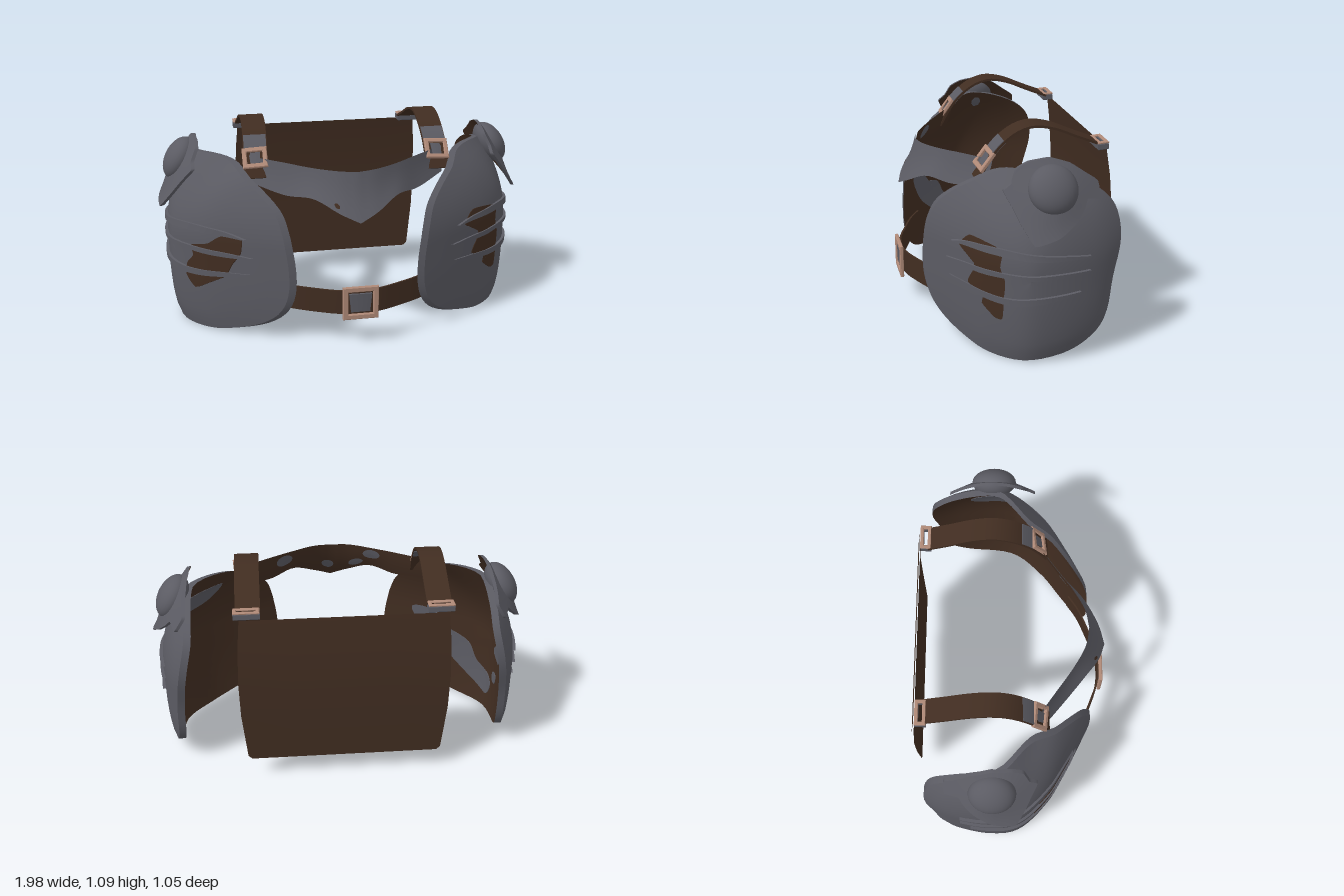
import * as THREE from 'three';

const steel = new THREE.MeshStandardMaterial({ color: 0x5b5b63 });
const leather = new THREE.MeshStandardMaterial({ color: 0x412d21 });
const copper = new THREE.MeshStandardMaterial({ color: 0xb08a78 });
steel.name = 'steel'; leather.name = 'leather'; copper.name = 'copper';

const { lerp, smoothstep } = THREE.MathUtils;
const V = (x, y, z) => new THREE.Vector3(x, y, z);

function add(parent, name, geo, mat) {
  const m = new THREE.Mesh(geo, mat);
  m.name = name;
  parent.add(m);
  return m;
}

// Smooth lookup of a value in a table of [key, value] pairs with rising keys
function lookup(table, k) {
  const n = table.length;
  let i = 0;
  while (i < n - 2 && k > table[i + 1][0]) i++;
  const slope = j => {
    const a = table[Math.max(j - 1, 0)], b = table[Math.min(j + 1, n - 1)];
    return (b[1] - a[1]) / (b[0] - a[0]);
  };
  const [k0, v0] = table[i], [k1, v1] = table[i + 1], d = k1 - k0;
  const t = (k - k0) / d, t2 = t * t, t3 = t2 * t;
  return v0 * (2 * t3 - 3 * t2 + 1) + v1 * (3 * t2 - 2 * t3)
    + slope(i) * d * (t3 - 2 * t2 + t) + slope(i + 1) * d * (t3 - t2);
}

// Skin over rows of points
function grid(rows, flip) {
  const w = rows[0].length, idx = [];
  for (let r = 0; r < rows.length - 1; r++) for (let c = 0; c < w - 1; c++) {
    const a = r * w + c, b = a + 1, d = a + w, e = d + 1;
    idx.push(...(flip ? [a, b, d, b, e, d] : [a, d, b, b, d, e]));
  }
  const g = new THREE.BufferGeometry().setFromPoints(rows.flat());
  g.setIndex(idx);
  g.computeVertexNormals();
  return g;
}

// Curved plate on side s: a (z, y) outline filled with rings, x given by surf(z, y).
// Groups: 0 outer face, 1 inner face, 2 rim.
function shell(s, outline, surf, { lift = 0, thick = 0.03, round = 0, tension = 0.5, centre } = {}) {
  const n = outline.length;
  const area = outline.reduce((sum, p, i) => {
    const q = outline[(i + 1) % n];
    return sum + q[0] * p[1] - p[0] * q[1];
  }, 0);
  const pts = (area < 0 ? outline.slice().reverse() : outline).map(p => V(0, p[1], p[0]));
  const curve = new THREE.CatmullRomCurve3(pts, true, 'catmullrom', tension);
  const N = n * 4, R = 9, pos = [], idx = [];
  const c = centre ? V(0, centre[1], centre[0]) : pts.reduce((a, p) => a.add(p), V(0, 0, 0)).divideScalar(n);
  const edge = Array.from({ length: N }, (_, i) => curve.getPoint(i / N));
  const put = (i, k, inner) => {
    const p = c.clone().lerp(edge[i % N], k);
    const x = surf(p.z, p.y) + lift - (inner ? thick : round * k ** 10);
    pos.push(s * x, p.y, p.z);
  };
  const tri = (a, b, d) => idx.push(...(s > 0 ? [a, b, d] : [a, d, b]));
  const g = new THREE.BufferGeometry();
  for (const inner of [false, true]) {
    const base = pos.length / 3, start = idx.length;
    for (let r = 0; r <= R; r++) for (let i = 0; i < N; i++) put(i, r / R, inner);
    for (let r = 0; r < R; r++) for (let i = 0; i < N; i++) {
      const j = (i + 1) % N, a = base + r * N + i, b = base + r * N + j, d = a + N, e = b + N;
      if (inner) { tri(a, e, d); if (r) tri(a, b, e); }
      else { tri(a, d, e); if (r) tri(a, e, b); }
    }
    g.addGroup(start, idx.length - start, inner ? 1 : 0);
  }
  const base = pos.length / 3, start = idx.length;
  for (let i = 0; i < N; i++) { put(i, 1, false); put(i, 1, true); }
  for (let i = 0; i < N; i++) {
    const a = base + 2 * i, b = base + 2 * ((i + 1) % N);
    tri(a, a + 1, b); tri(b, a + 1, b + 1);
  }
  g.addGroup(start, idx.length - start, 2);
  g.setAttribute('position', new THREE.Float32BufferAttribute(pos, 3));
  g.setIndex(idx);
  g.computeVertexNormals();
  return g;
}

// Flat band swept along a curve, its width lying along the given axis
function band(points, width, thick, axis, from = 0, to = 1) {
  const curve = new THREE.CatmullRomCurve3(points);
  const g = new THREE.BoxGeometry(1, width, thick, 24, 1, 1), p = g.attributes.position;
  for (let i = 0; i < p.count; i++) {
    const t = from + (p.getX(i) + 0.5) * (to - from);
    const nrm = curve.getTangentAt(t).cross(axis).normalize();
    const q = curve.getPointAt(t).addScaledVector(axis, p.getY(i)).addScaledVector(nrm, p.getZ(i));
    p.setXYZ(i, q.x, q.y, q.z);
  }
  g.computeVertexNormals();
  return g;
}

// Rectangular frame with an open middle
function frame(w, h, bar, depth) {
  const rect = (P, a, b) => new P([[-a, -b], [a, -b], [a, b], [-a, b]].map(q => new THREE.Vector2(...q)));
  const shape = rect(THREE.Shape, w / 2, h / 2);
  shape.holes.push(rect(THREE.Path, w / 2 - bar, h / 2 - bar));
  return new THREE.ExtrudeGeometry(shape, { depth, bevelSize: 0.004, bevelThickness: 0.004, bevelSegments: 1 })
    .translate(0, 0, -depth / 2);
}

// Buckle frame around a metal tab
function buckle(name, w, h, bar, tabW, tabH) {
  const grp = new THREE.Group();
  grp.name = name;
  add(grp, 'buckleFrame', frame(w, h, bar, 0.012), copper);
  add(grp, 'buckleTab', new THREE.CylinderGeometry(tabW / 2, tabW * 0.42, tabH, 4, 1, false, Math.PI / 4)
    .scale(1.41, 1, 0.15).translate(0, 0, -0.002), steel);
  return grp;
}

// Side plate surface and outline
const bend = [[-0.46, 0.86], [-0.3, 0.92], [-0.1, 0.95], [0.05, 0.92], [0.2, 0.78], [0.29, 0.635], [0.44, 0.365]];
const plateX = (z, y) => lookup(bend, z) - lerp(0.75, 1.55, smoothstep(z, -0.1, 0.14)) * Math.max(0, y - 0.5) ** 2
  - 0.25 * Math.max(0, 0.35 - y) ** 2;
const plateLine = [[0.43, 0.48], [0.435, 0.3], [0.41, 0.17], [0.35, 0.08], [0.25, 0.02], [0.15, 0], [0, 0.01],
  [-0.2, 0.05], [-0.33, 0.13], [-0.385, 0.23], [-0.41, 0.4], [-0.452, 0.6], [-0.425, 0.76], [-0.33, 0.85],
  [-0.17, 0.91], [0, 0.93], [0.12, 0.9], [0.25, 0.82], [0.36, 0.71], [0.41, 0.6]];

// Worn leather patches, outside and inside, for each side
const wornLeft = [[0.3, 0.54], [0.25, 0.49], [0.25, 0.44], [0.27, 0.36], [0.2, 0.31], [0.22, 0.28], [0.17, 0.225],
  [0.14, 0.23], [0.135, 0.34], [0.13, 0.43], [0.15, 0.5], [0.14, 0.58], [0.18, 0.6], [0.26, 0.61]];
const wornRight = [[0.315, 0.47], [0.29, 0.4], [0.27, 0.33], [0.22, 0.28], [0.16, 0.235], [0.12, 0.3], [0.13, 0.37],
  [0.16, 0.42], [0.15, 0.475], [0.22, 0.5], [0.26, 0.55], [0.315, 0.555]];
const bareLeft = [[[0.17, 0.8], [0.16, 0.7], [0.02, 0.68], [-0.15, 0.66], [-0.23, 0.72], [-0.18, 0.79], [0, 0.81]]];
const bareRight = [[[0.35, 0.5], [0.31, 0.36], [0.24, 0.25], [0.14, 0.15], [0.01, 0.09], [-0.03, 0.15], [0, 0.21],
  [0.1, 0.26], [0.15, 0.36], [0.24, 0.41], [0.28, 0.5]],
[[-0.04, 0.27], [-0.04, 0.22], [-0.09, 0.22], [-0.09, 0.27]], [[-0.04, 0.44], [-0.03, 0.39], [-0.12, 0.37], [-0.12, 0.43]]];

// Claw ridges: rows of [z, y, half width]
const claws = [
  [[0.33, 0.545, 0.002], [0.27, 0.565, 0.012], [0.15, 0.577, 0.017], [-0.1, 0.568, 0.012], [-0.27, 0.557, 0.003]],
  [[0.35, 0.445, 0.003], [0.28, 0.45, 0.012], [0.1, 0.467, 0.011], [-0.1, 0.478, 0.009], [-0.27, 0.483, 0.004]],
  [[0.34, 0.355, 0.002], [0.27, 0.34, 0.013], [0.14, 0.33, 0.016], [0, 0.352, 0.015], [-0.22, 0.38, 0.004]]];
const clawProfile = [[-1, -0.004], [-1, 0.016], [-1, 0.016], [1, 0.016], [1, 0.016], [1, -0.004]];

// Shoulder guard surface and outline
const guardX = (z, y) => 1 - 0.6 * (y - 0.655) - 1.0 * (z + 0.1) ** 2
  + 0.035 * Math.exp(-(((z + 0.1) / 0.13) ** 2 + ((y - 0.86) / 0.12) ** 2));
const guardLine = [[0.02, 0.655], [0.07, 0.74], [0.1, 0.81], [0.13, 0.875], [0.09, 0.91], [0.06, 0.97], [0, 1],
  [-0.1, 1.012], [-0.2, 0.98], [-0.28, 0.925], [-0.335, 0.885], [-0.335, 0.81], [-0.275, 0.845], [-0.24, 0.79],
  [-0.19, 0.74], [-0.1, 0.685]];

function side(s) {
  const g = new THREE.Group();
  g.name = s > 0 ? 'leftSide' : 'rightSide';
  add(g, 'sidePlate', shell(s, plateLine, plateX, { thick: 0.052, round: 0.014 }), [steel, leather, steel]);
  add(g, 'wornPatch', shell(s, s > 0 ? wornLeft : wornRight, plateX,
    { lift: 0.004, thick: 0.006, tension: 0.3, centre: [0.2, 0.42] }), leather);
  for (const line of s > 0 ? bareLeft : bareRight)
    add(g, 'barePatch', shell(s, line, plateX, { lift: -0.049, thick: 0.007 }), steel);
  for (const claw of claws) {
    const path = new THREE.CatmullRomCurve3(claw.map(([z, y, w]) => V(w, y, z)));
    const rows = path.getPoints(28).map(p => clawProfile.map(([k, h]) => {
      const y = p.y + k * p.x;
      return V(s * (plateX(p.z, y) + h), y, p.z);
    }));
    add(g, 'clawRidge', grid(rows, s < 0), steel);
  }
  // Shoulder guard with its domed boss
  add(g, 'shoulderGuard', shell(s, guardLine, guardX, { thick: 0.018, tension: 0.2, centre: [-0.09, 0.87] }), [steel, leather, steel]);
  const boss = add(g, 'shoulderBoss', new THREE.SphereGeometry(1, 28, 18), steel);
  boss.scale.set(0.075, 0.122, 0.12);
  boss.rotation.z = s * 0.54;
  boss.position.set(s * 0.868, 0.882, -0.095);

  // Strap over the top, with a bare section near the front
  const path = [[0.19, 0.83], [0.145, 0.91], [0.1, 0.975], [0.03, 1.04], [-0.03, 1.073], [-0.1, 1.088], [-0.2, 1.07],
    [-0.32, 1.02], [-0.44, 0.972]].map(([z, y]) => V(s * (0.475 + Math.max(0, z) * 0.06), y, z));
  add(g, 'shoulderStrap', band(path, 0.125, 0.012, V(1, 0, 0)), leather);
  add(g, 'strapBareSection', band(path, 0.118, 0.018, V(1, 0, 0), 0.2, 0.31), steel);
  const front = buckle('frontBuckle', 0.122, 0.105, 0.016, 0.06, 0.06);
  front.position.set(s * 0.487, 0.928, 0.145);
  front.rotation.set(-0.65, s * 0.12, 0);
  g.add(front);
  // Open rear loop: copper on top of a steel ring
  for (const [name, mat, y, depth] of [['backLoop', copper, 0.982, 0.004], ['backLoopBase', steel, 0.962, 0.025]]) {
    const loop = add(g, name, frame(0.125, 0.05, 0.011, depth), mat);
    loop.position.set(s * 0.482, y, -0.452);
    loop.rotation.x = -1.5;
  }
  return g;
}

// Chest collar: top and bottom edges by distance from the middle, t running from top to bottom
const collar = {
  topY: [[0, 0.9], [0.1, 0.905], [0.22, 0.91], [0.35, 0.92], [0.52, 0.93]],
  topZ: [[0, 0.405], [0.1, 0.385], [0.22, 0.32], [0.35, 0.23], [0.52, 0.11]],
  lowY: [[0, 0.66], [0.1, 0.705], [0.22, 0.765], [0.35, 0.76], [0.52, 0.8]],
  lowZ: [[0, 0.505], [0.1, 0.47], [0.22, 0.39], [0.35, 0.285], [0.52, 0.15]],
};
function collarPoint(x, t, off) {
  const at = k => lookup(collar[k], Math.abs(x));
  return V(x, lerp(at('topY'), at('lowY'), t), lerp(at('topZ'), at('lowZ'), t * t * 0.5 + t * 0.5) - off);
}
const collarRows = off => Array.from({ length: 41 }, (_, i) =>
  [0, 0.25, 0.5, 0.75, 1].map(t => collarPoint((i / 20 - 1) * 0.52, t, off)));

// Round spot lying on the collar
const collarSpot = (x, t, rx, rt, off, flip) => grid([0, 0.5, 1].map(r => Array.from({ length: 17 }, (_, i) => {
  const a = i / 16 * Math.PI * 2;
  return collarPoint(x + r * rx * Math.cos(a), t + r * rt * Math.sin(a), off);
})), flip);

export function createModel() {
  const g = new THREE.Group();
  g.name = 'harnessArmour';
  g.add(side(1), side(-1));

  add(g, 'chestCollar', grid(collarRows(0), true), steel);
  add(g, 'chestCollarLining', grid(collarRows(0.01), false), leather);
  add(g, 'collarWornSpot', collarSpot(-0.11, 0.84, 0.013, 0.06, -0.004, true), leather);
  for (const [x, t, rx, rt] of [[0.27, 0.35, 0.045, 0.25], [0.02, 0.62, 0.035, 0.13], [-0.14, 0.7, 0.04, 0.15], [-0.22, 0.3, 0.045, 0.22]])
    add(g, 'liningBareSpot', collarSpot(x, t, rx, rt, 0.015, false), steel);

  // Lower front strap and buckle
  const strap = [[-0.43, 0.335], [-0.35, 0.39], [-0.2, 0.455], [-0.1, 0.49], [0, 0.502], [0.1, 0.49], [0.2, 0.455],
    [0.35, 0.39], [0.43, 0.335]].map(([x, z]) => V(x, 0.23 + 0.1 * x * x, z));
  add(g, 'frontStrap', band(strap, 0.13, 0.01, V(0, 1, 0)), leather);
  const main = buckle('mainBuckle', 0.18, 0.172, 0.02, 0.12, 0.1);
  main.position.set(0, 0.23, 0.513);
  g.add(main);

  // Back sheet: rows of [y, z, half width]
  const sheet = [[0.95, -0.482, 0.52], [0.8, -0.503, 0.533], [0.6, -0.519, 0.54], [0.4, -0.521, 0.535], [0.14, -0.518, 0.51], [0.12, -0.518, 0.49]];
  for (const [off, flip] of [[0.004, false], [-0.006, true]]) {
    const rows = sheet.map(([y, z, w]) => [-1, -0.5, 0, 0.5, 1].map(k => V(k * w, y, z + off)));
    add(g, flip ? 'backSheetOuter' : 'backSheetInner', grid(rows, flip), leather);
  }
  return g;
}
